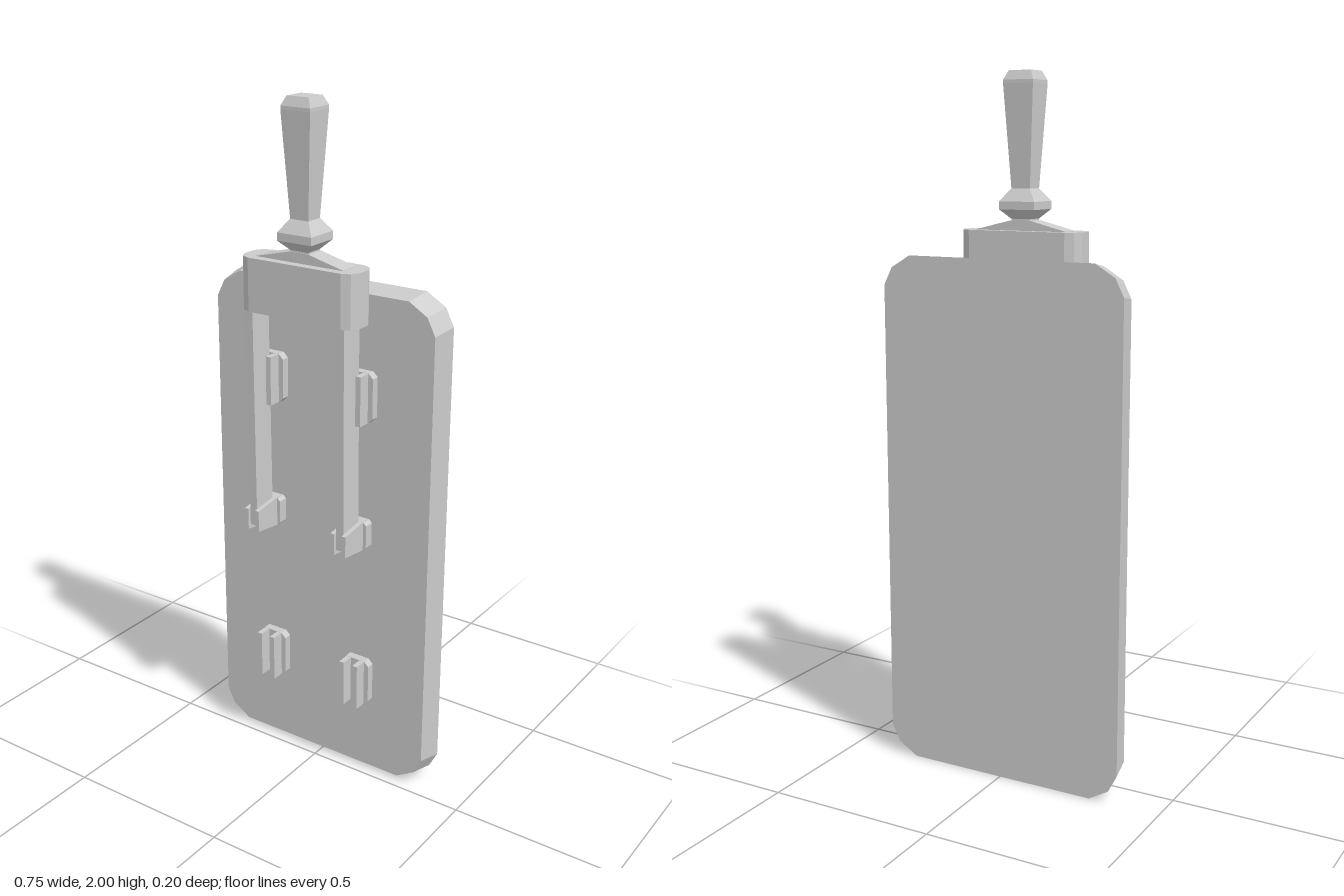
import * as THREE from 'three';

const material = new THREE.MeshStandardMaterial({ color: 0xcccccc, flatShading: true });

function part(parent, name, geometry, x = 0, y = 0, z = 0) {
  const mesh = new THREE.Mesh(geometry, material);
  mesh.name = name;
  mesh.position.set(x, y, z);
  parent.add(mesh);
  return mesh;
}

const outline = (points) => new THREE.Shape(points.map(([x, y]) => new THREE.Vector2(x, y)));
const extrude = (points, depth) =>
  new THREE.ExtrudeGeometry(outline(points), { depth, bevelEnabled: false, steps: 1 });

// Mirrors one corner run (right side to top) into a closed symmetric outline
function symmetric(corner) {
  const back = [...corner].reverse();
  return [
    ...corner,
    ...back.map(([x, y]) => [-x, y]),
    ...corner.map(([x, y]) => [-x, -y]),
    ...back.map(([x, y]) => [x, -y]),
  ];
}

// Side profile given as [z, y], extruded to a width centred on x
function sidePart(points, width) {
  return extrude(points, width).rotateY(-Math.PI / 2).translate(width / 2, 0, 0);
}

// Backing plate whose front face is slightly smaller than its back
function plateGeometry() {
  const g = extrude(symmetric([[0.373, 0.665], [0.347, 0.715], [0.288, 0.75]]), 0.075);
  const p = g.attributes.position;
  for (let i = 0; i < p.count; i++) {
    if (p.getZ(i) < 0.01) continue;
    p.setX(i, p.getX(i) * 0.966);
    p.setY(i, p.getY(i) * 0.983);
  }
  g.computeVertexNormals();
  return g;
}

// Contact clip: chamfered base with two upright jaws
function clip(parent, x, y) {
  const group = new THREE.Group();
  group.name = 'contactClip';
  group.position.set(x, y, -0.03);
  parent.add(group);
  part(group, 'clipBase', extrude(symmetric([[0.046, 0.058], [0.032, 0.072]]), 0.024));
  for (const s of [-1, 1]) {
    part(group, 'clipJaw', new THREE.BoxGeometry(0.016, 0.143, 0.062), s * 0.023, 0, 0.031);
  }
}

// Hinge: small base with two tapering cheeks around the blade
function hinge(parent, x) {
  const group = new THREE.Group();
  group.name = 'bladeHinge';
  group.position.x = x;
  parent.add(group);
  part(group, 'hingeBase', extrude(symmetric([[0.035, 0.034], [0.026, 0.043]]), 0.03), 0, 0.79, -0.03);
  const cheek = sidePart([[-0.03, 0.747], [0, 0.747], [0.09, 0.758], [0.09, 0.822], [0, 0.835], [-0.03, 0.833]], 0.013);
  for (const s of [-1, 1]) part(group, 'hingeCheek', cheek, s * 0.0185);
}

export function createModel() {
  const model = new THREE.Group();
  model.name = 'knifeSwitch';

  part(model, 'backPlate', plateGeometry(), 0, 0.75, -0.105);

  // Two poles: clips, hinge and blade
  for (const x of [-0.16, 0.14]) {
    clip(model, x, 0.31);
    clip(model, x, 1.203);
    hinge(model, x);
    part(model, 'blade', sidePart([[0.004, 0.77], [0.08, 0.77], [0.086, 1.43], [0.012, 1.43]], 0.024), x);
  }

  // Crossbar joining the blades
  const bar = extrude(symmetric([[0.187, 0.021], [0.174, 0.044], [0.15, 0.055]]), 0.15);
  part(model, 'crossbar', bar.rotateX(-Math.PI / 2), 0, 1.42, 0.045);
  const ridge = extrude([[-0.14, 1.565], [0.14, 1.565], [0.14, 1.571], [0.03, 1.598], [-0.03, 1.598], [-0.14, 1.571]], 0.058);
  part(model, 'crossbarRidge', ridge, 0, 0, 0.016);

  // Square handle with a collar at its foot
  const profile = [
    [0, 1.58], [0.029, 1.58], [0.029, 1.602], [0.055, 1.628], [0.055, 1.65],
    [0.029, 1.685], [0.046, 1.965], [0.046, 1.975], [0.034, 2], [0, 2],
  ].map(([r, y]) => new THREE.Vector2(r * Math.SQRT2, y));
  const handle = new THREE.LatheGeometry(profile, 4, Math.PI / 4).toNonIndexed();
  handle.computeVertexNormals();
  part(model, 'handle', handle, 0, 0, 0.045).scale.z = 0.92;

  return model;
}
